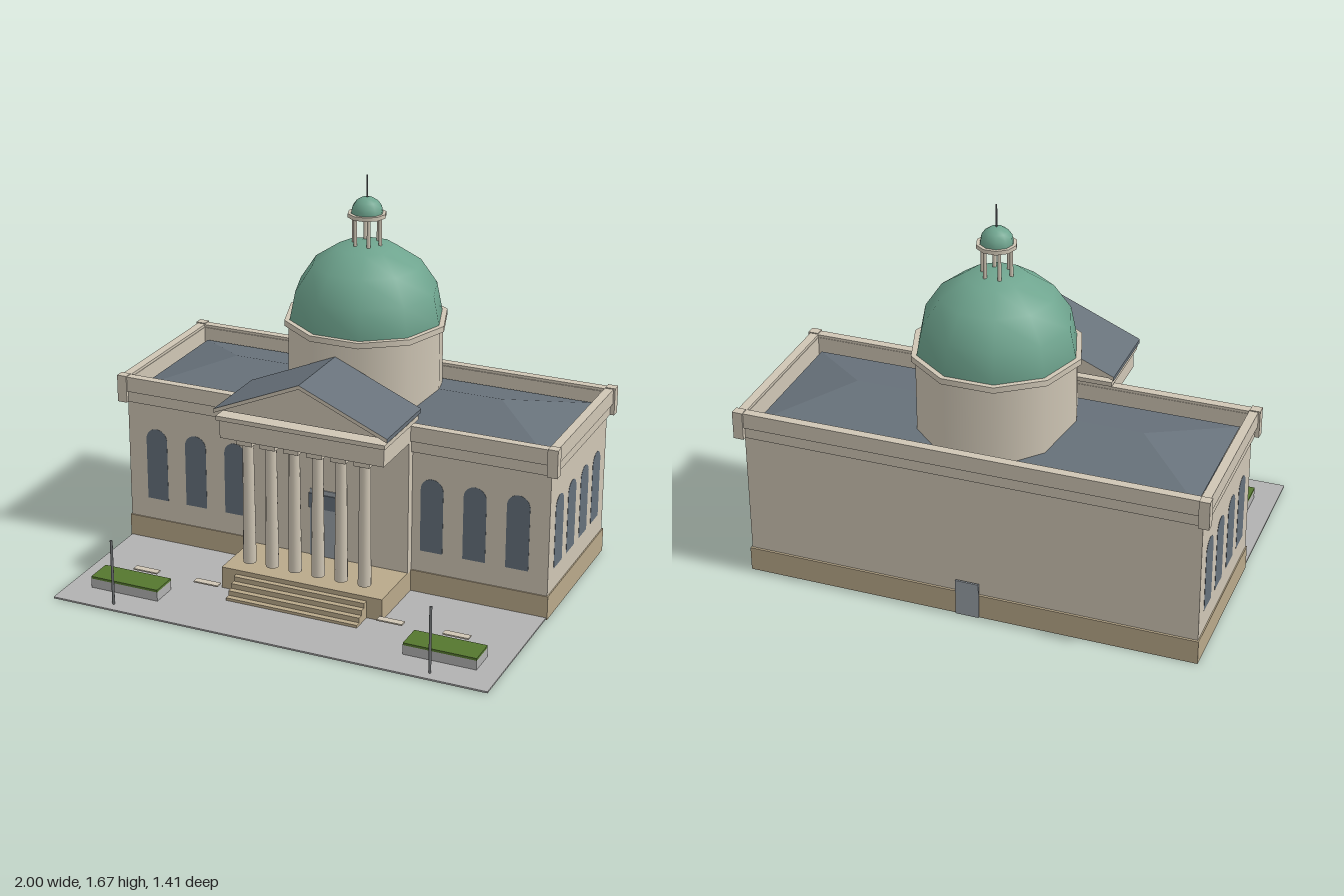
import * as THREE from 'three';

const mat = (name, color, side = THREE.FrontSide) => {
  const m = new THREE.MeshStandardMaterial({ color, side });
  m.name = name;
  return m;
};

export function createModel() {
  const stone = mat('cream stone', 0xcfc6b5);
  const plinthStone = mat('tan stone', 0xb9a98a);
  const copper = mat('green copper', 0x6fa58f, THREE.DoubleSide);
  const slate = mat('slate roof', 0x67717a, THREE.DoubleSide);
  const glass = mat('window glass', 0x65707b);
  const paving = mat('paving grey', 0xb1b1b1);
  const doorPaint = mat('door grey', 0x9aa1a8);
  const grass = mat('hedge green', 0x55772f);
  const iron = mat('iron grey', 0x6f7274);

  const model = new THREE.Group();
  model.name = 'domedCourthouse';

  const add = (name, geometry, material, parent = model) => {
    const mesh = new THREE.Mesh(geometry, material);
    mesh.name = name;
    parent.add(mesh);
    return mesh;
  };
  // Box given by its limits on each axis
  const box = (name, material, [x0, x1], [y0, y1], [z0, z1], parent = model) => {
    const mesh = add(name, new THREE.BoxGeometry(x1 - x0, y1 - y0, z1 - z0), material, parent);
    mesh.position.set((x0 + x1) / 2, (y0 + y1) / 2, (z0 + z1) / 2);
    return mesh;
  };
  // Upright cylinder from y0 to y1
  const post = (name, material, rBottom, rTop, sides, x, y0, y1, z, open = false) => {
    const mesh = add(name, new THREE.CylinderGeometry(rTop, rBottom, y1 - y0, sides, 1, open), material);
    mesh.position.set(x, (y0 + y1) / 2, z);
    mesh.rotation.y = Math.PI / 2;
    return mesh;
  };
  // Rectangular frame of four boxes
  const ring = (name, material, hx, z0, z1, t, y0, y1) => {
    const g = new THREE.Group();
    g.name = name;
    model.add(g);
    for (const [a, b] of [[z0, z0 + t], [z1 - t, z1]]) box(name + 'Long', material, [-hx, hx], [y0, y1], [a, b], g);
    for (const [a, b] of [[-hx, -hx + t], [hx - t, hx]]) box(name + 'Short', material, [a, b], [y0, y1], [z0 + t, z1 - t], g);
  };
  const extrude = (shape, depth) => new THREE.ExtrudeGeometry(shape, { depth, bevelEnabled: false, curveSegments: 8 });
  const polygon = (pts) => new THREE.Shape(pts.map(([x, y]) => new THREE.Vector2(x, y)));

  // Walls: thin slabs with round-headed windows; local z = 0 is the outer face
  const arch = (ShapeType, x, r, y0, y1) => {
    const s = new ShapeType();
    s.moveTo(x - r, y0);
    s.lineTo(x + r, y0);
    s.lineTo(x + r, y1 - r);
    s.absarc(x, y1 - r, r, 0, Math.PI, false);
    s.lineTo(x - r, y0);
    return s;
  };
  const wall = (name, width, windows, top, x, z, turn) => {
    const g = new THREE.Group();
    g.name = name;
    const h = width / 2;
    const shape = polygon([[-h, 0.004], [h, 0.004], [h, 0.75], [-h, 0.75]]);
    for (const w of windows) {
      shape.holes.push(arch(THREE.Path, w, 0.05, 0.2, top));
      add('window', extrude(arch(THREE.Shape, w, 0.05, 0.2, top), 0.008), glass, g).position.z = -0.007;
    }
    add('wallPanel', extrude(shape, 0.015), stone, g).position.z = -0.015;
    g.position.set(x, 0, z);
    g.rotation.y = turn;
    model.add(g);
  };
  const midZ = -0.3225;
  const sideWindows = [-0.235, -0.08, 0.08, 0.235];
  wall('frontWall', 1.93, [-0.83, -0.642, -0.453, 0.453, 0.642, 0.83], 0.53, 0, 0.03, 0);
  wall('backWall', 1.93, [], 0.5, 0, -0.675, Math.PI);
  wall('leftWall', 0.675, sideWindows, 0.515, 0.965, midZ, Math.PI / 2);
  wall('rightWall', 0.675, sideWindows, 0.515, -0.965, midZ, -Math.PI / 2);

  // Plinth, frieze, parapet and corner piers
  ring('plinth', plinthStone, 0.97, -0.685, 0.035, 0.012, 0, 0.105);
  ring('frieze', stone, 0.98, -0.692, 0.045, 0.03, 0.645, 0.7);
  ring('parapet', stone, 0.99, -0.702, 0.055, 0.038, 0.695, 0.762);
  for (const sx of [-1, 1]) {
    for (const z of [-0.69, 0.04]) {
      const pier = box('cornerPier', stone, [-0.022, 0.022], [0.645, 0.766], [-0.02, 0.02]);
      pier.position.x = sx * 0.976;
      pier.position.z = z;
    }
  }

  // Hipped main roof
  const e = 0.7, p = 0.782, rx = 0.925, zf = -0.012, zb = -0.64, zr = -0.326, rr = 0.615;
  const roof = new THREE.BufferGeometry();
  roof.setAttribute('position', new THREE.Float32BufferAttribute([
    -rx, e, zf, rx, e, zf, rr, p, zr, -rr, p, zr,
    rx, e, zb, -rx, e, zb,
  ], 3));
  roof.setIndex([0, 1, 2, 0, 2, 3, 4, 5, 3, 4, 3, 2, 1, 4, 2, 5, 0, 3]);
  const flatRoof = roof.toNonIndexed();
  flatRoof.computeVertexNormals();
  add('mainRoof', flatRoof, slate);

  // Drum, dome and lantern
  const domeZ = -0.325;
  post('drum', stone, 0.335, 0.335, 10, 0, 0.7, 1.045, domeZ);
  post('drumCornice', stone, 0.352, 0.352, 10, 0, 1.04, 1.065, domeZ);
  const dome = (name, r, y, sides, rows) =>
    add(name, new THREE.SphereGeometry(r, sides, rows, 0, Math.PI * 2, 0, Math.PI / 2), copper).position.set(0, y, domeZ);
  dome('dome', 0.33, 1.062, 10, 4);
  for (let i = 0; i < 6; i++) {
    const a = (i * Math.PI) / 3;
    post('lanternPost', stone, 0.008, 0.008, 8, 0.06 * Math.cos(a), 1.34, 1.5, domeZ + 0.06 * Math.sin(a));
  }
  post('lanternRing', stone, 0.082, 0.082, 10, 0, 1.497, 1.514, domeZ);
  dome('lanternDome', 0.068, 1.514, 10, 4);
  post('spire', iron, 0.004, 0.003, 6, 0, 1.575, 1.675, domeZ);

  // Entrance block with doors
  box('entranceBlock', stone, [-0.365, 0.365], [0.1, 0.72], [0.02, 0.07]);
  box('frontDoor', doorPaint, [-0.08, 0.08], [0.105, 0.41], [0.068, 0.075]);
  box('doorTransom', glass, [-0.085, 0.085], [0.325, 0.39], [0.07, 0.079]);
  box('backDoor', doorPaint, [-0.05, 0.05], [0, 0.16], [-0.691, -0.683]);

  // Portico: floor, steps, columns, entablature and gable
  box('porchFloor', plinthStone, [-0.365, 0.365], [0, 0.105], [0.03, 0.338]);
  [0.085, 0.064, 0.042, 0.021].forEach((h, i) =>
    box('step', plinthStone, [-0.297, 0.297], [0.003, h], [0.33, 0.362 + i * 0.025]));
  for (let i = 0; i < 6; i++) {
    const x = -0.262 + i * 0.1048;
    post('column', stone, 0.028, 0.023, 14, x, 0.127, 0.668, 0.28);
    box('capital', stone, [x - 0.034, x + 0.034], [0.665, 0.692], [0.243, 0.317]);
  }
  box('entablature', stone, [-0.365, 0.365], [0.69, 0.775], [0.03, 0.332]);
  box('porticoCornice', stone, [-0.375, 0.375], [0.772, 0.791], [0, 0.348]);
  add('pediment', extrude(polygon([[-0.365, 0.81], [0.365, 0.81], [0, 0.966]]), 0.325), stone);
  const gable = polygon([[0, 0.968], [0.385, 0.803], [0.385, 0.82], [0, 0.985], [-0.385, 0.82], [-0.385, 0.803]]);
  add('porticoRoof', extrude(gable, 0.353), [stone, slate]).position.z = -0.005;

  // Forecourt with planters, benches and lamp posts
  box('forecourt', paving, [-0.965, 0.965], [0.002, 0.009], [0.035, 0.705]);
  for (const s of [-1, 1]) {
    const span = (a, b) => (s > 0 ? [a, b] : [-b, -a]);
    box('planter', paving, span(0.552, 0.865), [0.009, 0.05], [0.443, 0.563]);
    box('hedge', grass, span(0.552, 0.865), [0.05, 0.06], [0.443, 0.563]);
    for (const x of [0.362, 0.65]) box('bench', stone, span(x, x + 0.112), [0.033, 0.039], [0.355, 0.387]);
    post('lampPost', iron, 0.006, 0.006, 8, s * 0.706, 0.009, 0.298, 0.657);
  }
  return model;
}
